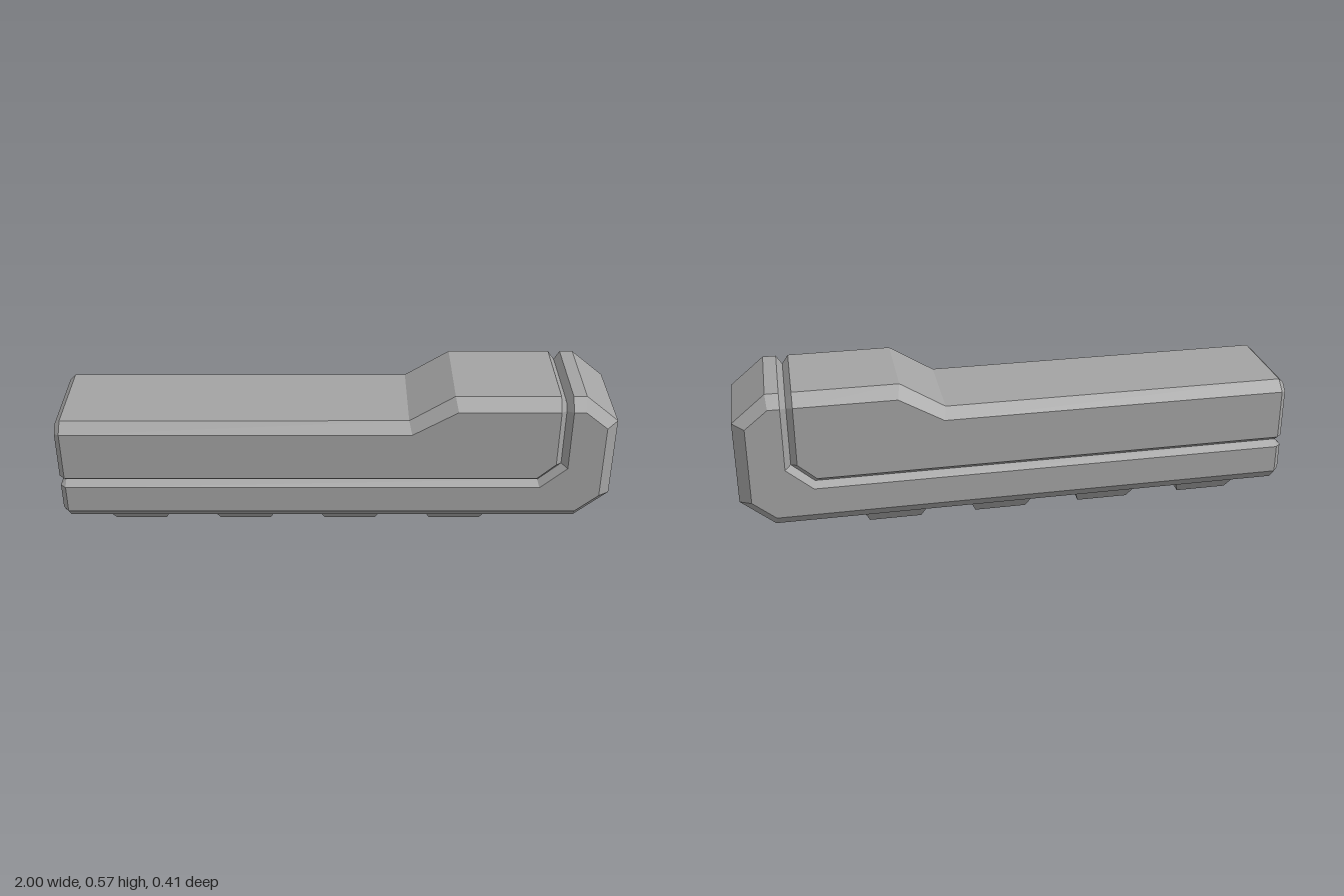
import * as THREE from 'three';

const FACE_Z = 0.207;

// Symmetric bevelled solid. Each row: side-face point (x, y), then rim point (x, y, z).
// Rows run clockwise seen from the front; repeated side-face points make corner facets.
function bevelledBody(rows) {
  const pos = [];
  const tri = (a, b, c) => {
    const n = new THREE.Vector3().crossVectors(b.clone().sub(a), c.clone().sub(a));
    if (n.length() > 1e-9) for (const p of [a, b, c]) pos.push(p.x, p.y, p.z);
  };
  const quad = (a, b, c, d) => { tri(a, b, c); tri(a, c, d); };
  const flip = (p) => new THREE.Vector3(p.x, p.y, -p.z);

  const face = rows.map((r) => new THREE.Vector3(r[0], r[1], FACE_Z));
  const rim = rows.map((r) => new THREE.Vector3(r[2], r[3], r[4]));
  rows.forEach((_, i) => {
    const j = (i + 1) % rows.length;
    quad(face[i], face[j], rim[j], rim[i]);
    quad(flip(face[j]), flip(face[i]), flip(rim[i]), flip(rim[j]));
    quad(rim[i], rim[j], flip(rim[j]), flip(rim[i]));
  });

  // Flat side faces, without the repeated points, counter-clockwise
  const outline = face.filter((p, i) => !p.equals(face[(i + 1) % face.length])).reverse();
  const flat = outline.map((p) => new THREE.Vector2(p.x, p.y));
  for (const [a, b, c] of THREE.ShapeUtils.triangulateShape(flat, [])) {
    tri(outline[a], outline[b], outline[c]);
    tri(flip(outline[c]), flip(outline[b]), flip(outline[a]));
  }

  const geo = new THREE.BufferGeometry();
  geo.setAttribute('position', new THREE.Float32BufferAttribute(pos, 3));
  geo.computeVertexNormals();
  return geo;
}

// Block tapering towards its bottom in both directions
function footGeometry() {
  const geo = new THREE.BoxGeometry(0.24, 0.067, 0.284);
  const p = geo.attributes.position;
  for (let i = 0; i < p.count; i++) {
    if (p.getY(i) < 0) p.setXYZ(i, p.getX(i) * 0.79, p.getY(i), p.getZ(i) * 0.655);
  }
  geo.computeVertexNormals();
  return geo;
}

export function createModel() {
  const group = new THREE.Group();
  const grey = new THREE.MeshStandardMaterial({ color: 0xa3a3a3 });
  grey.name = 'grey';
  const add = (name, geo) => {
    const mesh = new THREE.Mesh(geo, grey);
    mesh.name = name;
    group.add(mesh);
    return mesh;
  };

  // Upper block with the raised end
  add('upperBlock', bevelledBody([
    [-0.98, 0.437, -0.98, 0.473, 0.167],
    [0.27, 0.437, 0.26, 0.473, 0.167],
    [0.43, 0.53, 0.42, 0.573, 0.167],
    [0.79, 0.53, 0.79, 0.573, 0.167],
    [0.79, 0.53, 0.812, 0.545, 0.157],
    [0.79, 0.53, 0.812, 0.52, 0.18],
    [0.79, 0.312, 0.812, 0.303, 0.18],
    [0.725, 0.253, 0.732, 0.232, 0.18],
    [-0.98, 0.253, -0.98, 0.232, 0.18],
    [-0.98, 0.253, -1, 0.253, 0.187],
    [-0.98, 0.437, -1, 0.43, 0.187],
    [-0.98, 0.437, -1, 0.455, 0.16],
  ]));

  // Lower frame that turns up around the raised end
  add('lowerFrame', bevelledBody([
    [-0.98, 0.213, -0.98, 0.232, 0.18],
    [0.738, 0.213, 0.732, 0.232, 0.18],
    [0.833, 0.295, 0.812, 0.303, 0.18],
    [0.833, 0.53, 0.812, 0.52, 0.18],
    [0.833, 0.53, 0.812, 0.545, 0.157],
    [0.833, 0.53, 0.833, 0.573, 0.167],
    [0.875, 0.53, 0.88, 0.573, 0.167],
    [0.957, 0.463, 1, 0.473, 0.167],
    [0.957, 0.178, 1, 0.167, 0.167],
    [0.875, 0.11, 0.88, 0.067, 0.167],
    [-0.98, 0.11, -0.98, 0.067, 0.167],
    [-0.98, 0.11, -1, 0.085, 0.16],
    [-0.98, 0.11, -1, 0.115, 0.187],
    [-0.98, 0.213, -1, 0.213, 0.187],
  ]));

  // Row of feet underneath
  const foot = footGeometry();
  for (let i = 0; i < 4; i++) add('foot', foot).position.set(-0.735 + i * 0.394, 0.0335, 0);

  return group;
}
